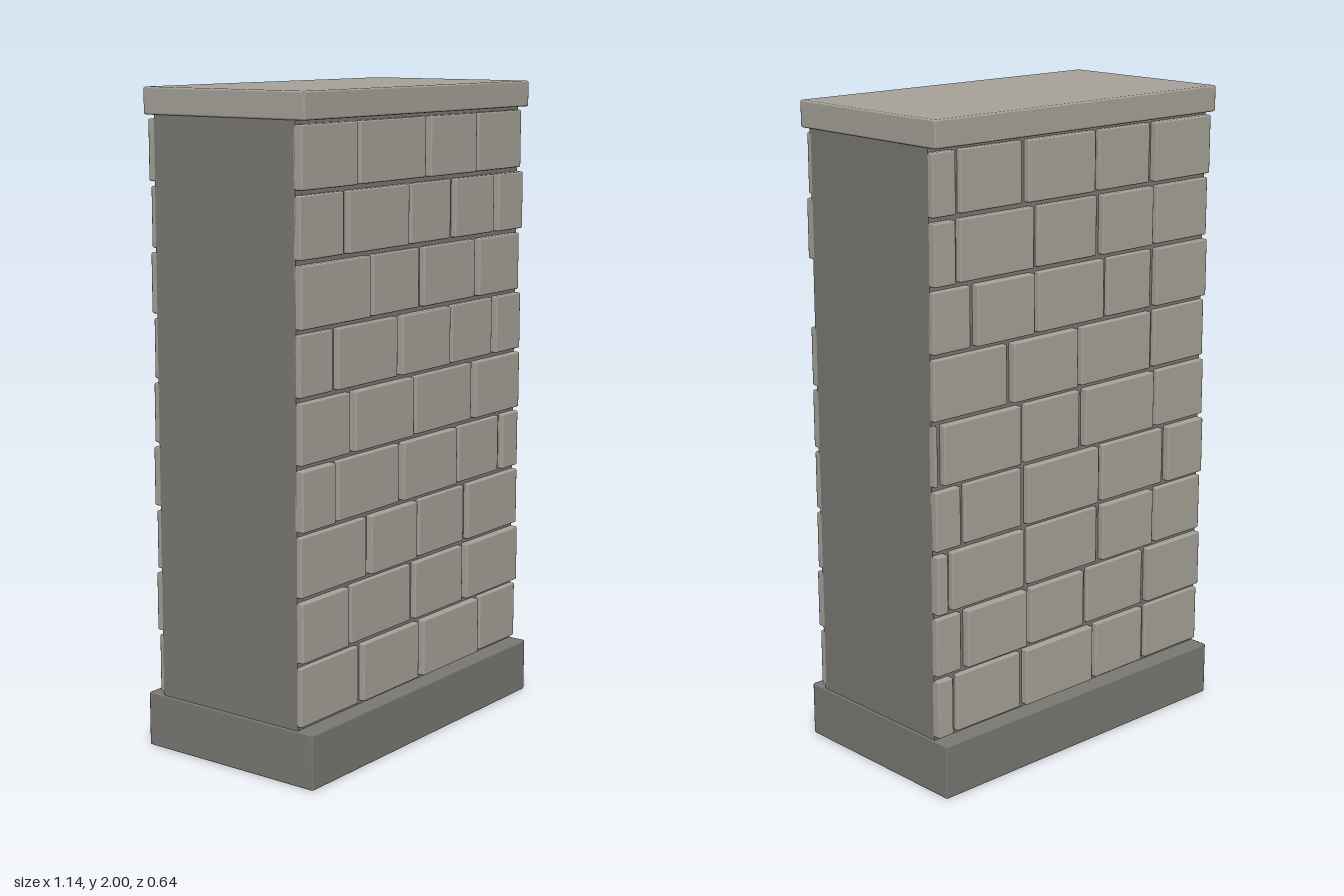
import * as THREE from 'three';
import { RoundedBoxGeometry } from 'three/addons/geometries/RoundedBoxGeometry.js';

const HALF = 0.565, ROW_Y = 0.18, PITCH = 0.1936, STONE_H = 0.18, JOINT = 0.02;

// x of the vertical joints in each course, bottom course first
const FRONT = [
  [-0.28, 0.025, 0.35],
  [-0.335, -0.015, 0.262],
  [-0.245, 0.01, 0.272],
  [-0.402, -0.08, 0.222, 0.467],
  [-0.327, -0.015, 0.305],
  [-0.403, -0.095, 0.175, 0.417],
  [-0.232, 0.02, 0.313, 0.557],
  [-0.354, -0.042, 0.184, 0.417],
  [-0.297, 0.048, 0.312],
];
const BACK = [
  [-0.312, -0.082, 0.223, 0.498],
  [-0.312, -0.045, 0.2, 0.461],
  [-0.35, -0.104, 0.208, 0.515],
  [-0.394, -0.104, 0.216, 0.461],
  [-0.342, -0.022, 0.223, 0.543],
  [-0.327, -0.007, 0.275],
  [-0.327, -0.119, 0.171, 0.416],
  [-0.327, -0.089, 0.171, 0.476],
  [-0.31, -0.075, 0.215, 0.47],
];

export function createModel() {
  const model = new THREE.Group();
  model.name = 'stoneWall';
  const stone = new THREE.MeshStandardMaterial({ name: 'light stone', color: 0xa7a39a });
  const mortar = new THREE.MeshStandardMaterial({ name: 'dark mortar', color: 0x7b7974 });

  // Softly chamfered block given by its limits
  const block = (parent, name, material, [x0, x1], [y0, y1], [z0, z1], bevel) => {
    const geometry = new RoundedBoxGeometry(x1 - x0, y1 - y0, z1 - z0, 1, bevel);
    const mesh = new THREE.Mesh(geometry, material);
    mesh.position.set((x0 + x1) / 2, (y0 + y1) / 2, (z0 + z1) / 2);
    mesh.name = name;
    parent.add(mesh);
  };

  // Core, plinth and coping
  const core = new THREE.Mesh(new THREE.BoxGeometry(2 * HALF, 1.9, 0.52), mortar);
  core.name = 'core';
  core.position.y = 0.98;
  model.add(core);
  block(model, 'plinth', mortar, [-0.57, 0.57], [0, 0.17], [-0.318, 0.318], 0.006);
  block(model, 'coping', stone, [-0.57, 0.57], [1.92, 2], [-0.297, 0.297], 0.006);

  // Courses of facing stones, each standing out by a slightly different amount
  const addFacing = (name, courses, side) => {
    const facing = new THREE.Group();
    facing.name = name;
    courses.forEach((joints, row) => {
      const edges = [-HALF - JOINT / 2, ...joints, HALF + JOINT / 2];
      const y = ROW_Y + row * PITCH;
      for (let i = 0; i + 1 < edges.length; i++) {
        const x0 = edges[i] + JOINT / 2, x1 = edges[i + 1] - JOINT / 2;
        if (x1 - x0 < 0.01) continue;
        const face = 0.274 + 0.0025 * ((row * 3 + i * 2) % 5);
        const z = side > 0 ? [0.25, face] : [-face, -0.25];
        const bevel = Math.min(0.005, (x1 - x0) / 4);
        block(facing, 'facingStone', stone, [x0, x1], [y, y + STONE_H], z, bevel);
      }
    });
    model.add(facing);
  };
  addFacing('frontStones', FRONT, 1);
  addFacing('backStones', BACK, -1);
  return model;
}
